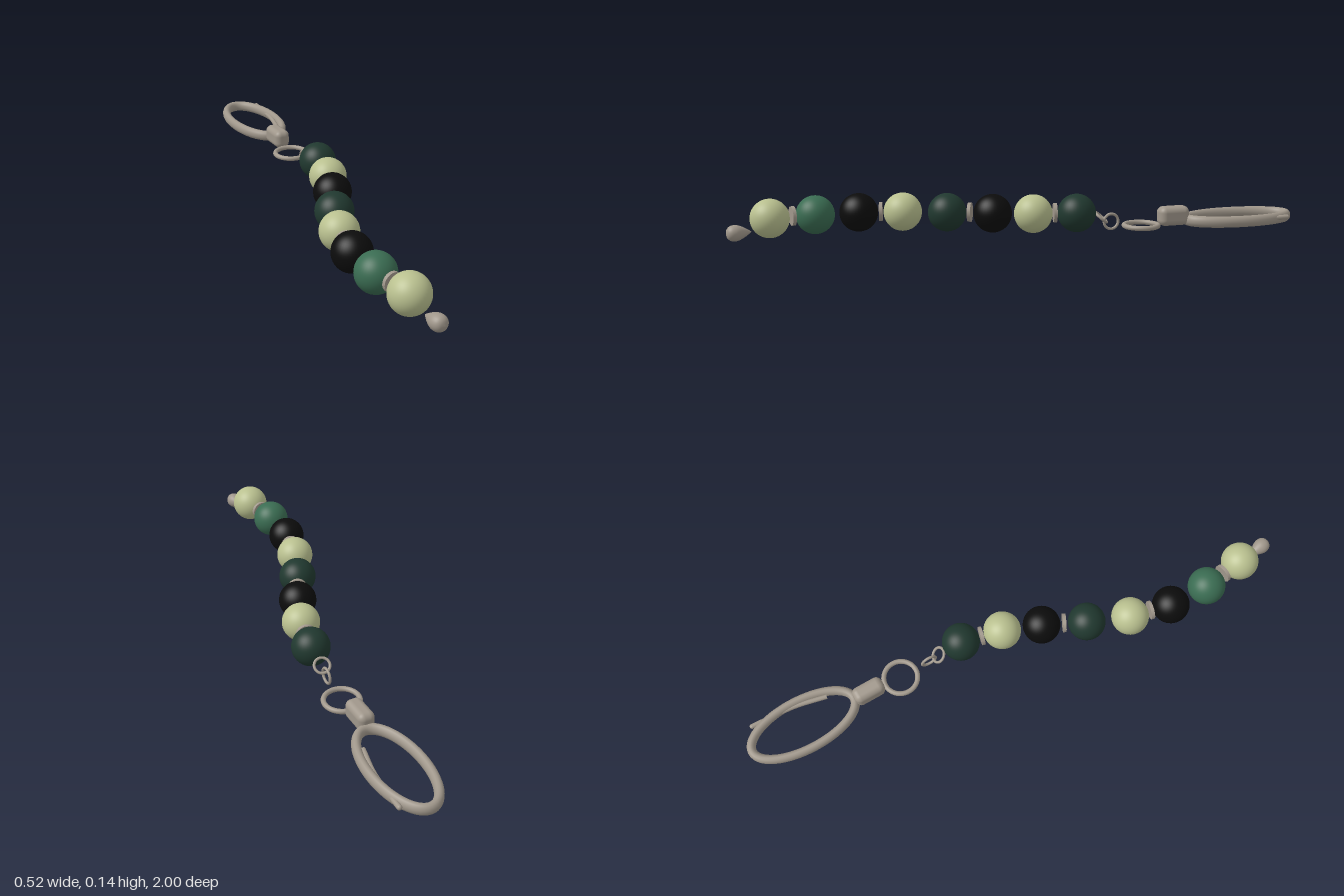
import * as THREE from 'three';
import { RoundedBoxGeometry } from 'three/addons/geometries/RoundedBoxGeometry.js';

const material = (name, color) => {
  const m = new THREE.MeshStandardMaterial({ color });
  m.name = name;
  return m;
};

export function createModel() {
  const metal = material('brushed metal', 0xa0978b);
  const cream = material('pale olive', 0xb9c08f);
  const green = material('green', 0x3a6c52);
  const darkGreen = material('dark green', 0x20382f);
  const black = material('black', 0x0c0c0c);

  const model = new THREE.Group();
  model.name = 'beadedKeychain';
  const add = (name, geometry, mat, x, y, z) => {
    const mesh = new THREE.Mesh(geometry, mat);
    mesh.name = name;
    mesh.position.set(x, y, z);
    model.add(mesh);
    return mesh;
  };

  // String of round beads, from the clasp end to the front
  const beads = [
    [0.047, -0.198, darkGreen], [0.063, -0.045, cream],
    [0.058, 0.098, black], [0.04, 0.26, darkGreen],
    [0.032, 0.418, cream], [0.048, 0.572, black],
    [0.096, 0.717, green], [0.169, 0.86, cream],
  ];
  const beadGeometry = new THREE.SphereGeometry(0.068, 40, 28);
  for (const [x, z, mat] of beads) add('bead', beadGeometry, mat, x, 0.07, z);

  // Metal spacer discs between every second pair
  const spacerGeometry = new THREE.CylinderGeometry(0.034, 0.034, 0.012, 32).rotateX(Math.PI / 2);
  for (let i = 0; i < beads.length; i += 2) {
    const [x1, z1] = beads[i], [x2, z2] = beads[i + 1];
    const disc = add('spacer', spacerGeometry, metal, (x1 + x2) / 2, 0.072, (z1 + z2) / 2);
    disc.rotation.y = Math.atan2(x2 - x1, z2 - z1);
  }

  // Teardrop end charm, its tip towards the beads
  const dropProfile = [
    [0, -0.047], [0.008, -0.036], [0.018, -0.02], [0.026, -0.002],
    [0.028, 0.012], [0.025, 0.026], [0.016, 0.036], [0, 0.041],
  ].map(([r, y]) => new THREE.Vector2(r, y));
  const dropCurve = new THREE.SplineCurve(dropProfile).getPoints(24);
  dropCurve.forEach((p) => { p.x = Math.max(p.x, 0); });
  const drop = add('endDrop', new THREE.LatheGeometry(dropCurve, 28).rotateX(Math.PI / 2), metal, 0.225, 0.03, 0.957);
  drop.rotation.y = 0.5;

  // Two small links joining the beads to the split ring
  const linkGeometry = new THREE.TorusGeometry(0.027, 0.005, 12, 32);
  add('tiltedLink', linkGeometry, metal, 0.02, 0.05, -0.285).rotation.x = Math.PI / 2 - 0.7;
  add('uprightLink', linkGeometry, metal, 0.01, 0.033, -0.322).rotation.y = -1.24;

  // Flat ring
  add('flatRing', new THREE.TorusGeometry(0.061, 0.009, 14, 48), metal, -0.026, 0.012, -0.432).rotation.x = Math.PI / 2;

  // Swivel barrel of the clasp
  const barrel = add('swivelBarrel', new RoundedBoxGeometry(0.06, 0.07, 0.115, 5, 0.022), metal, -0.066, 0.041, -0.55);
  barrel.rotation.y = 0.35;

  // Oval clasp frame
  const ovalPoints = [];
  for (let i = 0; i < 32; i++) {
    const a = (i / 32) * Math.PI * 2;
    ovalPoints.push(new THREE.Vector3(0.09 * Math.cos(a), 0, 0.199 * Math.sin(a)));
  }
  const oval = new THREE.CatmullRomCurve3(ovalPoints, true);
  const frame = add('claspFrame', new THREE.TubeGeometry(oval, 96, 0.016, 14, true), metal, -0.14, 0.023, -0.794);
  frame.rotation.y = 0.333;
  frame.scale.y = 1.3;

  // Spring gate along one side, with its thumb tip standing out
  const gatePath = new THREE.CatmullRomCurve3([
    [-0.114, 0.028, -0.972], [-0.098, 0.026, -0.92],
    [-0.068, 0.024, -0.82], [-0.052, 0.024, -0.7],
  ].map((p) => new THREE.Vector3(...p)));
  add('gate', new THREE.TubeGeometry(gatePath, 24, 0.009, 12), metal, 0, 0, 0);
  add('gateTip', new THREE.SphereGeometry(0.009, 14, 10), metal, -0.114, 0.028, -0.972);

  return model;
}
